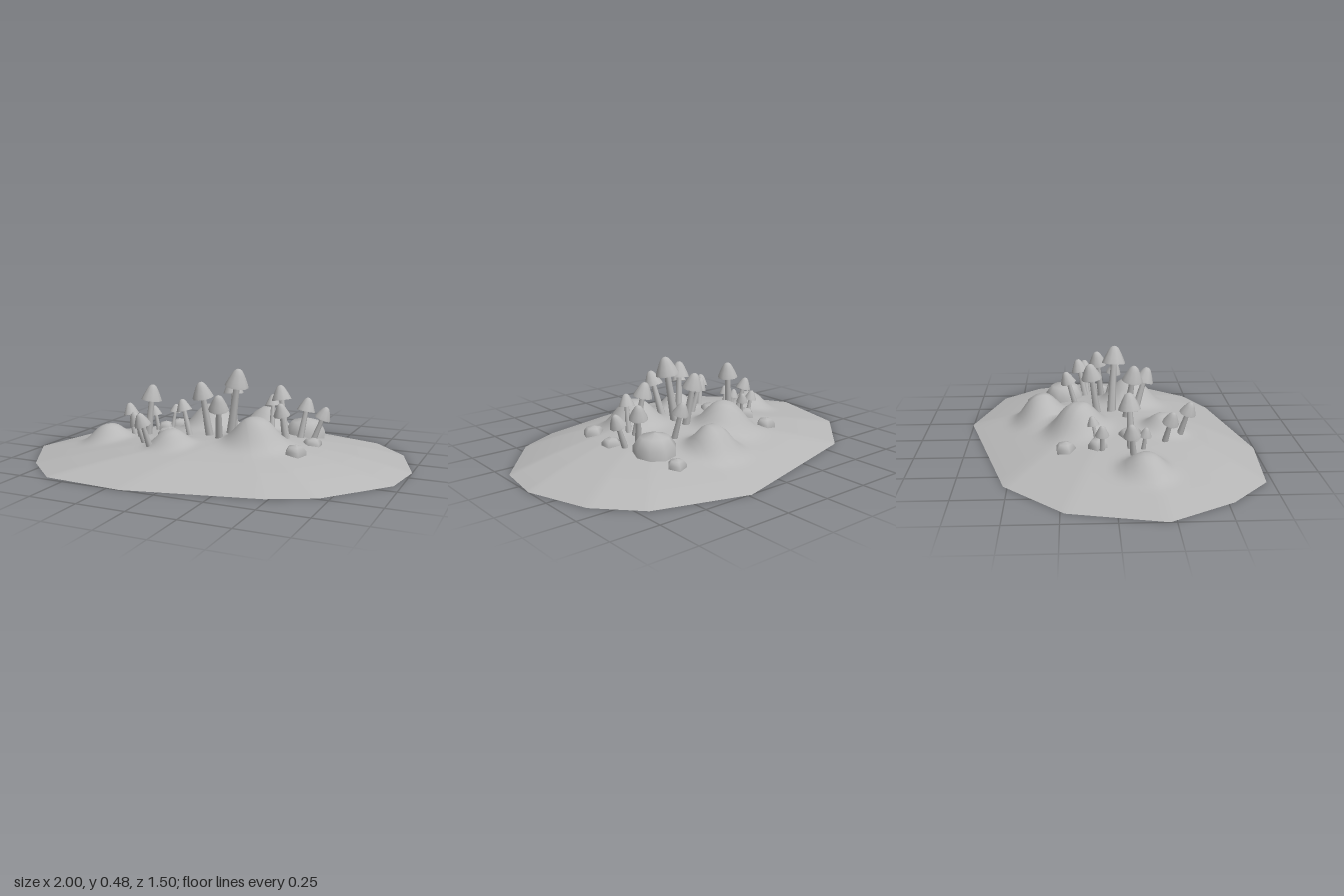
import * as THREE from 'three';

const stone = new THREE.MeshStandardMaterial({ color: 0xb8b8b8, side: THREE.DoubleSide });
stone.name = 'plainGrey';

// ground outline as x, z corners, and the point the slope rises to
const outline = [
  [-1, 0.22], [-0.82, 0.53], [-0.61, 0.72], [-0.18, 0.75], [0.48, 0.6], [0.7, 0.49], [0.965, 0.165],
  [1, -0.09], [0.89, -0.41], [0.7, -0.61], [0.23, -0.755], [-0.61, -0.52], [-0.9, -0.23],
];
const peak = [0.15, 0.08];

// mounds: x, z, added height, radius
const mounds = [
  [0.25, 0.13, 0.125, 0.125], [-0.13, -0.17, 0.135, 0.125], [0.12, -0.37, 0.125, 0.11],
  [-0.61, 0.15, 0.08, 0.1], [-0.16, 0.28, 0.075, 0.09],
];

// 0 at the peak, 1 on the outline
function slope(x, z) {
  let s = 0;
  outline.forEach(([ax, az], i) => {
    const [bx, bz] = outline[(i + 1) % outline.length];
    const nx = az - bz, nz = bx - ax;
    const reach = nx * (ax - peak[0]) + nz * (az - peak[1]);
    s = Math.max(s, (nx * (x - peak[0]) + nz * (z - peak[1])) / reach);
  });
  return Math.min(s, 1);
}

function groundHeight(x, z) {
  let y = 0.138 * (1 - Math.pow(slope(x, z), 1.8));
  for (const [mx, mz, h, r] of mounds) {
    y += h * Math.exp(-Math.pow(Math.hypot(x - mx, z - mz) / r, 2.8));
  }
  return y;
}

function add(parent, name, geometry) {
  const mesh = new THREE.Mesh(geometry, stone);
  mesh.name = name;
  parent.add(mesh);
  return mesh;
}

// thin shell of concentric rings shaped like the outline
function groundGeometry() {
  const rings = 44, steps = 10, around = outline.length * steps;
  const points = [], index = [];
  for (let r = 0; r <= rings; r++) {
    const s = r / rings;
    for (let k = 0; k < around; k++) {
      const a = outline[Math.floor(k / steps)];
      const b = outline[(Math.floor(k / steps) + 1) % outline.length];
      const t = (k % steps) / steps;
      const x = peak[0] + s * (a[0] + (b[0] - a[0]) * t - peak[0]);
      const z = peak[1] + s * (a[1] + (b[1] - a[1]) * t - peak[1]);
      points.push(x, r === rings ? 0 : groundHeight(x, z), z);
      if (r === rings) continue;
      const p = r * around + k, q = r * around + (k + 1) % around;
      if (r > 0) index.push(p, q + around, q);
      index.push(p, p + around, q + around);
    }
  }
  const g = new THREE.BufferGeometry();
  g.setAttribute('position', new THREE.Float32BufferAttribute(points, 3));
  g.setIndex(index);
  g.computeVertexNormals();
  // the first ring is a single point, so it faces straight up
  for (let k = 0; k < around; k++) g.attributes.normal.setXYZ(k, 0, 1, 0);
  return g;
}

// open-bottomed rock with a rounded top
function addRock(parent, [x, z, r, h, sides, turn]) {
  const profile = [[1, -0.45], [1, 0.3], [0.68, 0.8], [0, 1]]
    .map(([px, py]) => new THREE.Vector2(px * r, py * h));
  const rock = add(parent, 'rock', new THREE.LatheGeometry(profile, sides));
  rock.position.set(x, groundHeight(x, z), z);
  rock.rotation.y = turn;
}

// leaning stem with a bell cap; dx, dz move the foot away from under the cap
function addMushroom(parent, [x, z, top, r, dx, dz]) {
  const mushroom = new THREE.Group();
  mushroom.name = 'mushroom';
  const capHeight = r * 1.5;
  const foot = new THREE.Vector3(x + dx, groundHeight(x + dx, z + dz) - 0.015, z + dz);
  const neck = new THREE.Vector3(x, top - capHeight, z);
  const length = foot.distanceTo(neck);
  const lean = neck.clone().sub(foot).normalize();

  const stem = add(mushroom, 'stem',
    new THREE.CylinderGeometry(r * 0.25, r * 0.4, length + r * 0.25, 7, 1, true));
  stem.position.y = (length + r * 0.25) / 2;

  const bell = [[1, 0], [0.95, 0.17], [0.78, 0.55], [0.55, 1.02], [0.35, 1.34], [0.17, 1.47], [0, 1.5]]
    .map(([px, py]) => new THREE.Vector2(px * r, py * r));
  add(mushroom, 'cap', new THREE.LatheGeometry(bell, 10)).position.y = length;
  const gills = [[0.2, 0.15], [1, 0]].map(([px, py]) => new THREE.Vector2(px * r, py * r));
  add(mushroom, 'capUnderside', new THREE.LatheGeometry(gills, 10)).position.y = length;

  mushroom.position.copy(foot);
  mushroom.quaternion.setFromUnitVectors(new THREE.Vector3(0, 1, 0), lean);
  parent.add(mushroom);
}

export function createModel() {
  const model = new THREE.Group();
  model.name = 'mushroomPatch';
  add(model, 'ground', groundGeometry());

  // x, z, radius, height, sides, turn
  [
    [0.39, -0.24, 0.108, 0.095, 9, 0.2], [0.39, -0.41, 0.048, 0.04, 5, 0.3],
    [0.5, -0.03, 0.05, 0.035, 5, 1], [0.475, 0.17, 0.055, 0.045, 5, 0.6],
    [-0.37, -0.23, 0.052, 0.045, 5, 0.1], [-0.37, -0.07, 0.05, 0.045, 5, 0.9],
    [-0.265, 0.1, 0.062, 0.04, 5, 0.5],
  ].forEach((rock) => addRock(model, rock));

  // x, z, cap top, cap radius, foot offset x, foot offset z
  [
    [0.1, 0.03, 0.485, 0.063, -0.04, -0.015], [0.03, -0.09, 0.41, 0.055, 0.02, 0.03],
    [-0.05, 0.12, 0.42, 0.056, 0.025, -0.03], [0.07, 0.19, 0.375, 0.053, -0.02, -0.05],
    [-0.375, 0.085, 0.375, 0.056, -0.02, 0.01], [-0.17, 0.1, 0.315, 0.043, 0.04, 0.01],
    [0.32, -0.05, 0.4, 0.051, 0.035, 0.02], [0.42, -0.15, 0.325, 0.048, -0.02, 0.03],
    [0.52, -0.12, 0.292, 0.043, -0.05, 0.01], [0.355, 0.04, 0.325, 0.043, 0.01, -0.03],
    [0.21, -0.215, 0.315, 0.043, 0.01, 0.04], [-0.345, 0.29, 0.27, 0.043, 0.03, -0.025],
    [-0.26, 0.385, 0.29, 0.043, 0.02, -0.035], [-0.5, 0.09, 0.265, 0.043, 0.03, 0.01],
    [-0.42, 0.16, 0.215, 0.031, 0.01, -0.01], [-0.425, -0.05, 0.23, 0.035, 0.02, 0],
    [-0.325, -0.09, 0.24, 0.031, -0.01, 0.02], [-0.43, 0.1, 0.205, 0.031, 0.015, 0],
  ].forEach((mushroom) => addMushroom(model, mushroom));

  return model;
}
